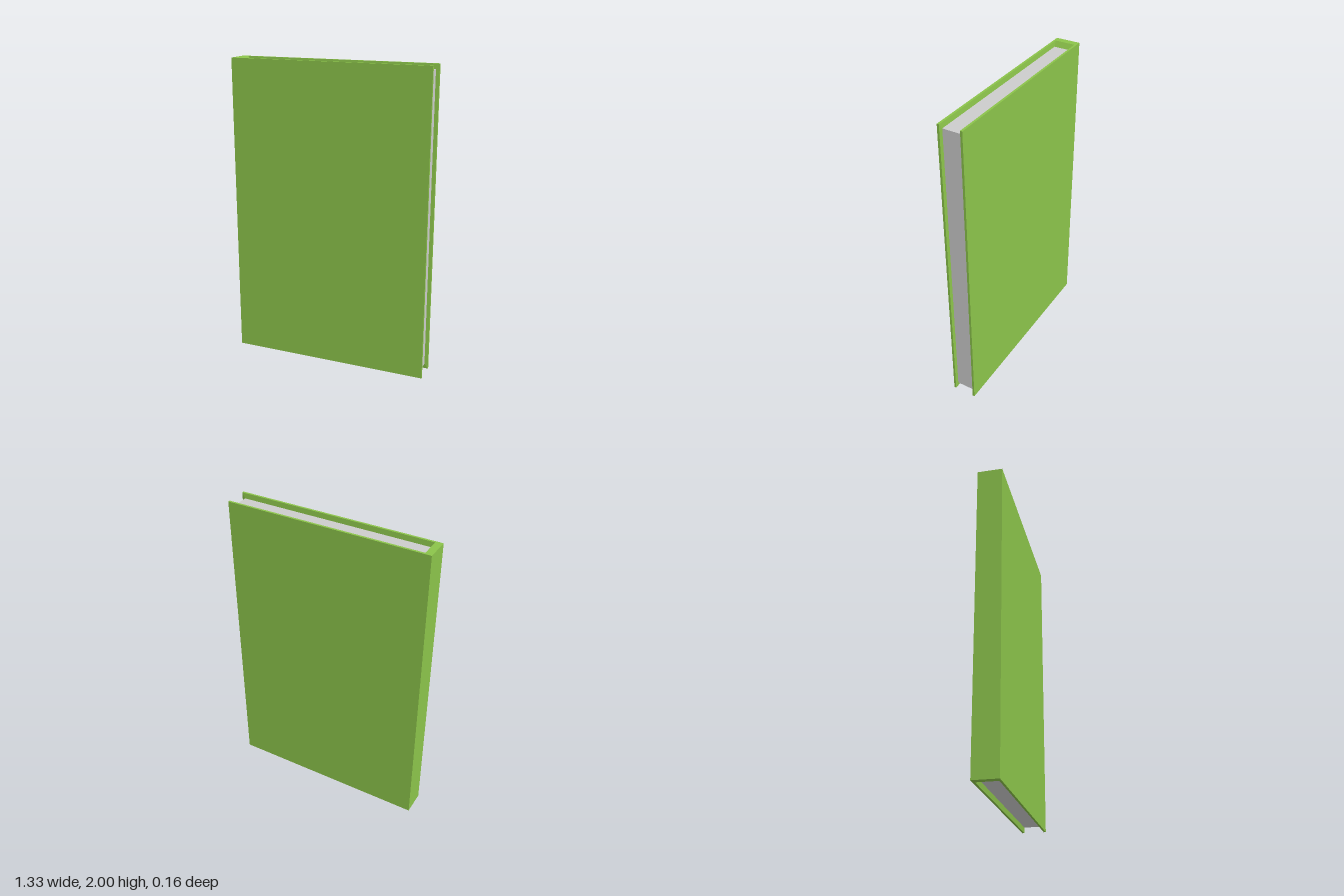
import * as THREE from 'three';

const W = 0.663, H = 2;                    // half width and height of the covers
const Z_OUT = 0.08, Z_RIM = 0.066, Z_IN = 0.062;
const PAGE = { x0: -0.598, x1: 0.641, y0: 0.033, y1: 1.967 };

export function createModel() {
  const book = new THREE.Group();
  book.name = 'book';
  const green = new THREE.MeshStandardMaterial({ color: 0x8bc34a, flatShading: true });
  const paper = new THREE.MeshStandardMaterial({ color: 0xcccccc, flatShading: true });

  const add = (name, geometry, material) => {
    const mesh = new THREE.Mesh(geometry, material);
    mesh.name = name;
    book.add(mesh);
    return mesh;
  };

  // Cover board: a flat plate whose inner face slopes in to the page block
  const coverGeometry = (side) => {
    const g = new THREE.BoxGeometry(2 * W, H, 2, 1, 1, 2);
    const p = g.attributes.position;
    for (let i = 0; i < p.count; i++) {
      const layer = p.getZ(i) * side;      // 1 outside, 0 rim, -1 inside
      let x = p.getX(i), y = p.getY(i) + H / 2;
      if (layer < -0.5) {
        x = x < 0 ? PAGE.x0 : PAGE.x1;
        y = y < 1 ? PAGE.y0 : PAGE.y1;
      }
      const z = layer > 0.5 ? Z_OUT : layer > -0.5 ? Z_RIM : Z_IN;
      p.setXYZ(i, x, y, z * side);
    }
    g.computeVertexNormals();
    return g;
  };
  add('frontCover', coverGeometry(1), green);
  add('backCover', coverGeometry(-1), green);

  // Spine: its inner face is bevelled towards the pages at both ends
  const spineShape = new THREE.Shape([
    [-W, 0], [-0.619, 0], [PAGE.x0, PAGE.y0],
    [PAGE.x0, PAGE.y1], [-0.619, H], [-W, H],
  ].map(([x, y]) => new THREE.Vector2(x, y)));
  const spineGeometry = new THREE.ExtrudeGeometry(spineShape, { depth: 2 * Z_RIM, bevelEnabled: false });
  spineGeometry.translate(0, 0, -Z_RIM);
  add('spine', spineGeometry, green);

  // Page block
  const pages = add('pages', new THREE.BoxGeometry(PAGE.x1 - PAGE.x0, PAGE.y1 - PAGE.y0, 2 * Z_IN), paper);
  pages.position.set((PAGE.x0 + PAGE.x1) / 2, (PAGE.y0 + PAGE.y1) / 2, 0);

  return book;
}
